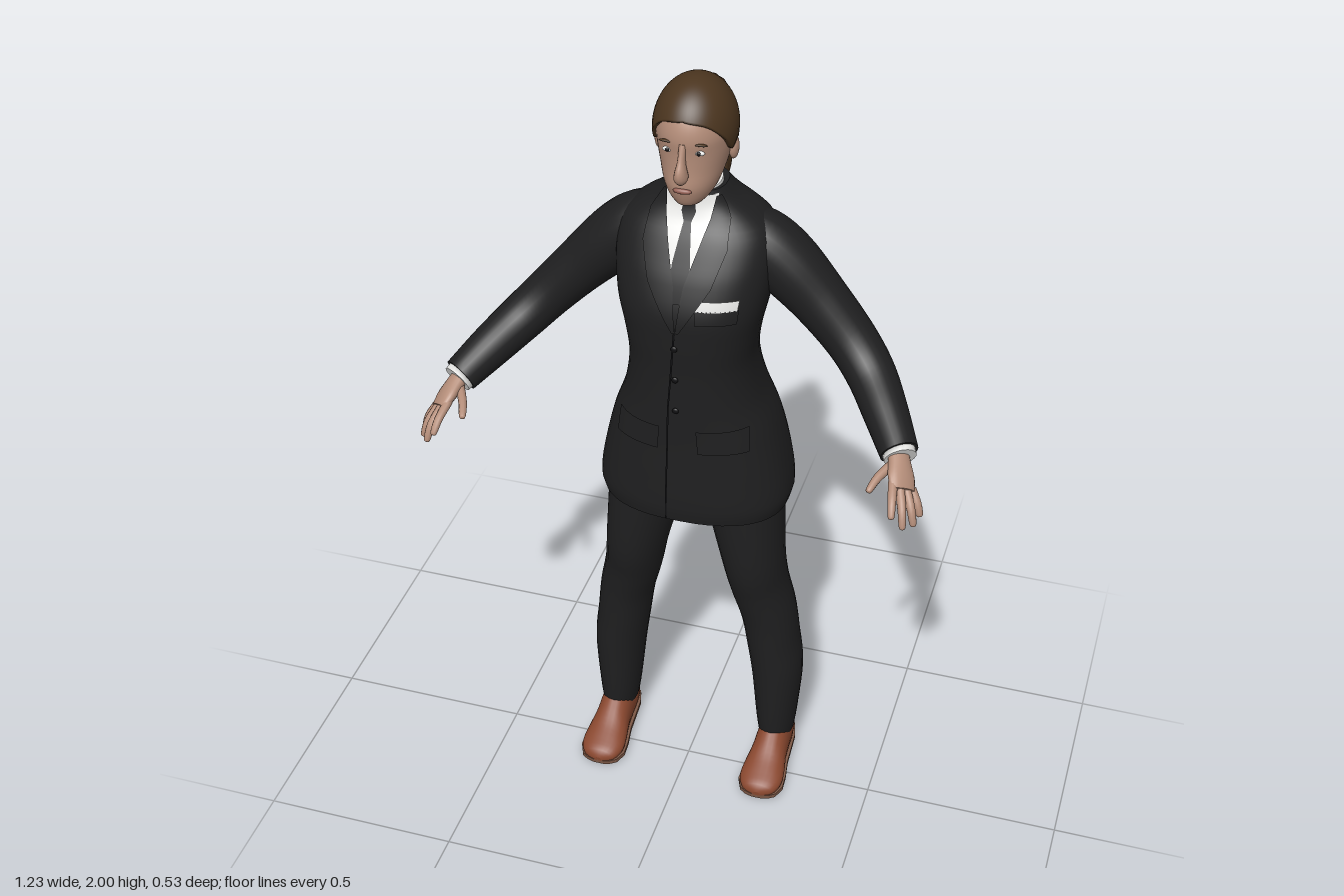
import * as THREE from 'three';

const V = (x, y, z) => new THREE.Vector3(x, y, z);
const mat = (name, color, side = THREE.FrontSide) => {
  const m = new THREE.MeshStandardMaterial({ color, side });
  m.name = name;
  return m;
};

// Smooth interpolation through rows of [key, value, value, ...]
function profile(rows) {
  const slope = (i, k) => {
    const a = rows[Math.max(0, i - 1)], b = rows[Math.min(rows.length - 1, i + 1)];
    return (b[k] - a[k]) / (b[0] - a[0]);
  };
  return (key) => {
    let i = 0;
    while (i < rows.length - 2 && key > rows[i + 1][0]) i++;
    const a = rows[i], b = rows[i + 1], d = b[0] - a[0];
    const t = Math.min(1, Math.max(0, (key - a[0]) / d)), t2 = t * t, t3 = t2 * t;
    return a.slice(1).map((v, j) => (2 * t3 - 3 * t2 + 1) * v + (t3 - 2 * t2 + t) * d * slope(i, j + 1)
      + (3 * t2 - 2 * t3) * b[j + 1] + (t3 - t2) * d * slope(i + 1, j + 1));
  };
}

// Surface through rings of points; closed rings may be capped at both ends
function skin(rings, { closed = true, cap = false } = {}) {
  const n = rings[0].length, pts = rings.flat(), index = [];
  for (let i = 0; i < rings.length - 1; i++) {
    for (let j = 0; j < (closed ? n : n - 1); j++) {
      const k = (j + 1) % n, a = i * n + j, b = i * n + k, c = b + n, d = a + n;
      index.push(a, b, c, a, c, d);
    }
  }
  if (cap) {
    [rings[0], rings[rings.length - 1]].forEach((ring, end) => {
      const s = pts.length;
      const mid = ring.reduce((m, p) => m.add(p), V(0, 0, 0)).divideScalar(n);
      pts.push(mid, ...ring);
      for (let j = 0; j < n; j++) {
        const p = s + 1 + j, q = s + 1 + (j + 1) % n;
        if (end) index.push(s, p, q); else index.push(s, q, p);
      }
    });
  }
  const g = new THREE.BufferGeometry().setFromPoints(pts);
  g.setIndex(index);
  g.computeVertexNormals();
  return g;
}

// Elliptical limb along rows of [x, y, z, half width, half depth]
function limb(rows, { across = V(1, 0, 0), steps = 24, sides = 20, ripple = 0 } = {}) {
  const path = new THREE.CatmullRomCurve3(rows.map((r) => V(r[0], r[1], r[2])), false, 'catmullrom');
  const size = new THREE.CatmullRomCurve3(rows.map((r) => V(r[3], r[4], 0)), false, 'catmullrom');
  const rings = [];
  for (let i = 0; i <= steps; i++) {
    const c = path.getPoint(i / steps), t = path.getTangent(i / steps), s = size.getPoint(i / steps);
    const u = across.clone().addScaledVector(t, -across.dot(t)).normalize();
    const w = u.clone().cross(t);
    rings.push(Array.from({ length: sides }, (_, j) => {
      const a = j / sides * Math.PI * 2, k = 1 + ripple * Math.sin(a * 6 + i * 0.25);
      return c.clone().addScaledVector(u, Math.sin(a) * s.x * k).addScaledVector(w, Math.cos(a) * s.y * k);
    }));
  }
  return skin(rings, { cap: true });
}

function mirrored(geo) {
  const g = geo.clone().scale(-1, 1, 1);
  if (!g.index) g.setIndex(Array.from({ length: g.attributes.position.count }, (_, i) => i));
  const a = g.index.array;
  for (let i = 0; i < a.length; i += 3) [a[i], a[i + 1]] = [a[i + 1], a[i]];
  return g;
}

const ball = (x, y, z, rx, ry, rz) => new THREE.SphereGeometry(1, 16, 12).scale(rx, ry, rz).translate(x, y, z);

// Jacket body: y, half width, front z, back z
const torsoAt = profile([
  [0.865, 0.234, 0.084, -0.25], [0.9, 0.242, 0.09, -0.256], [0.98, 0.232, 0.09, -0.26],
  [1.1, 0.203, 0.088, -0.248], [1.2, 0.168, 0.09, -0.222], [1.3, 0.152, 0.094, -0.192],
  [1.38, 0.16, 0.1, -0.186], [1.46, 0.177, 0.1, -0.195], [1.54, 0.188, 0.075, -0.207],
  [1.6, 0.188, 0.045, -0.21], [1.64, 0.174, 0.022, -0.205], [1.67, 0.14, 0.002, -0.19],
  [1.7, 0.096, -0.01, -0.172], [1.735, 0.068, -0.016, -0.148]]);
const POWER = 2.4;
const torsoZ = (x, y, side) => {
  const [rx, zf, zb] = torsoAt(y), q = Math.min(0.96, Math.abs(x) / rx);
  return (zf + zb) / 2 + side * (zf - zb) / 2 * (1 - q ** POWER) ** (1 / POWER);
};

// Cloth piece draped on the jacket body, rows of [y, x0, x1] from bottom to top
function drape(rows, off, side = 1) {
  const rings = [], n = 10, m = 6;
  for (let i = 0; i < rows.length - 1; i++) {
    for (let s = i ? 1 : 0; s <= m; s++) {
      const [y, x0, x1] = rows[i].map((v, k) => THREE.MathUtils.lerp(v, rows[i + 1][k], s / m));
      rings.push(Array.from({ length: n + 1 }, (_, j) => {
        const x = THREE.MathUtils.lerp(x0, x1, side > 0 ? j / n : 1 - j / n);
        return V(x, y, torsoZ(x, y, side) + off * side);
      }));
    }
  }
  return skin(rings, { closed: false });
}

// Head: rounded crown above the brow, jaw profile below it
const jawAt = profile([
  [1.712, 0.012, 0.012, -0.03], [1.722, 0.032, 0.034, -0.055], [1.745, 0.052, 0.046, -0.09],
  [1.77, 0.064, 0.053, -0.12], [1.81, 0.076, 0.05, -0.148], [1.85, 0.085, 0.05, -0.162], [1.88, 0.088, 0.053, -0.163]]);
function headPoint(a, y, grow) {
  const k = y > 1.88 ? Math.sqrt(Math.max(0, 1 - ((y - 1.88) / (0.112 + grow)) ** 2)) : 1;
  const [rx, zf, zb] = jawAt(Math.min(y, 1.88));
  return V((rx + grow) * k * Math.sin(a), y, (zf + zb) / 2 + ((zf - zb) / 2 + grow) * k * Math.cos(a));
}
const around = (n, fn) => Array.from({ length: n }, (_, j) => fn(j / n * Math.PI * 2));
const hairlineAt = profile([[0, 1.935], [35, 1.922], [60, 1.885], [78, 1.845], [95, 1.858], [120, 1.835], [180, 1.82]]);
const hairline = (a) => hairlineAt(THREE.MathUtils.radToDeg(Math.min(a, Math.PI * 2 - a)))[0];

export function createModel() {
  const model = new THREE.Group();
  model.name = 'suitedWoman';
  const two = THREE.DoubleSide;
  const suit = mat('charcoal suit', 0x1f1f20, two), black = mat('black trim', 0x101012, two);
  const shirt = mat('white shirt', 0xe6e6e4, two), skinTone = mat('skin', 0xb48d79);
  const hair = mat('brown hair', 0x4b351f, two), leather = mat('brown leather', 0x8a482f);
  const sole = mat('tan sole', 0x7c5846), lip = mat('lips', 0x935e52);
  const add = (name, geo, material) => {
    const m = new THREE.Mesh(geo, material);
    m.name = name;
    model.add(m);
  };
  const pair = (name, geo, material) => {
    add(name + 'Left', geo, material);
    add(name + 'Right', mirrored(geo), material);
  };

  // Jacket
  const body = [];
  for (let i = 0; i <= 60; i++) {
    const y = 0.865 + 0.87 * i / 60, [rx, zf, zb] = torsoAt(y);
    const pw = (v) => Math.sign(v) * Math.abs(v) ** (2 / POWER);
    body.push(around(48, (a) => V(rx * pw(Math.sin(a)), y, (zf + zb) / 2 + (zf - zb) / 2 * pw(Math.cos(a)))));
  }
  add('jacketBody', skin(body, { cap: true }), suit);
  pair('sleeve', limb([
    [0.1, 1.6, -0.095, 0.07, 0.072], [0.15, 1.58, -0.098, 0.078, 0.08], [0.21, 1.53, -0.1, 0.078, 0.08],
    [0.29, 1.45, -0.096, 0.068, 0.07], [0.37, 1.365, -0.082, 0.061, 0.065], [0.43, 1.305, -0.042, 0.058, 0.06],
    [0.485, 1.258, 0.035, 0.053, 0.053], [0.537, 1.212, 0.115, 0.045, 0.046]], { across: V(0.7, 0.7, 0), steps: 40, sides: 24 }), suit);
  pair('lapel', drape([[1.43, 0, 0.008], [1.54, 0.012, 0.075], [1.62, 0.035, 0.1], [1.68, 0.052, 0.095], [1.725, 0.058, 0.067]], 0.01), suit);
  pair('hipPocketFlap', drape([[1.085, 0.05, 0.165], [1.15, 0.045, 0.16]], 0.008), suit);
  add('breastPocket', drape([[1.455, 0.045, 0.135], [1.49, 0.042, 0.138]], 0.007), suit);
  add('pocketSquare', drape([[1.488, 0.045, 0.135], [1.512, 0.042, 0.138]], 0.007), shirt);
  add('frontEdge', drape([[0.87, -0.034, -0.03], [1.2, -0.026, -0.022], [1.44, -0.005, 0]], 0.003), black);
  add('backVent', drape([[0.87, -0.003, 0.003], [1.08, -0.002, 0.002]], 0.003, -1), black);
  for (const y of [1.2, 1.29, 1.38]) add('button', ball(-0.005, y, torsoZ(0, y, 1) + 0.002, 0.008, 0.008, 0.004), black);

  // Shirt and tie
  add('shirtFront', drape([[1.53, -0.012, 0.012], [1.62, -0.042, 0.042], [1.69, -0.058, 0.058], [1.728, -0.062, 0.062]], 0.005), shirt);
  add('shirtCollar', limb([[0, 1.68, -0.081, 0.064, 0.063], [0, 1.745, -0.07, 0.058, 0.057]], { steps: 4, sides: 32 }), shirt);
  add('tie', drape([[1.5, -0.012, 0.012], [1.58, -0.022, 0.022], [1.668, -0.009, 0.009], [1.69, -0.017, 0.017], [1.715, -0.012, 0.012]], 0.008), black);
  pair('shirtCuff', limb([[0.53, 1.218, 0.105, 0.04, 0.04], [0.542, 1.206, 0.126, 0.038, 0.039]], { across: V(0.7, 0.7, 0), steps: 2 }), shirt);

  // Hands
  const across = V(0.045, -0.03, -0.035).normalize();
  pair('palm', limb([[0.532, 1.217, 0.11, 0.026, 0.021], [0.544, 1.2, 0.14, 0.03, 0.02],
    [0.555, 1.182, 0.168, 0.037, 0.018], [0.565, 1.166, 0.192, 0.033, 0.012]], { across, steps: 10 }), skinTone);
  const fingers = {
    indexFinger: [[0.541, 1.184, 0.19], [0.549, 1.162, 0.235], [0.555, 1.132, 0.263]],
    middleFinger: [[0.556, 1.172, 0.188], [0.572, 1.138, 0.228], [0.58, 1.097, 0.248]],
    ringFinger: [[0.57, 1.162, 0.18], [0.589, 1.13, 0.208], [0.6, 1.09, 0.22]],
    littleFinger: [[0.58, 1.154, 0.166], [0.598, 1.126, 0.18], [0.608, 1.096, 0.187]],
    thumb: [[0.528, 1.198, 0.145], [0.505, 1.186, 0.188], [0.491, 1.17, 0.228]],
  };
  for (const [name, [a, b, c]] of Object.entries(fingers)) {
    const near = (t) => b.map((v, i) => v + (c[i] - v) * t);
    pair(name, limb([[...a, 0.012, 0.011], [...b, 0.0105, 0.01], [...near(0.85), 0.008, 0.008], [...c, 0.002, 0.002]],
      { across, steps: 12, sides: 10 }), skinTone);
  }

  // Trousers
  pair('trouserLeg', limb([
    [0.221, 0.085, -0.092, 0.046, 0.07], [0.22, 0.15, -0.093, 0.054, 0.077], [0.217, 0.3, -0.095, 0.067, 0.085],
    [0.205, 0.4, -0.092, 0.069, 0.086], [0.191, 0.5, -0.085, 0.071, 0.086], [0.168, 0.6, -0.072, 0.074, 0.091],
    [0.153, 0.7, -0.062, 0.08, 0.104], [0.128, 0.86, -0.07, 0.097, 0.118], [0.112, 0.97, -0.08, 0.108, 0.125]], { steps: 40, sides: 24 }), suit);

  // Shoes: z, half width, top height; the heel sits slightly higher than the toe
  const shoeRows = [[-0.166, 0.012, 0.05], [-0.158, 0.031, 0.085], [-0.12, 0.042, 0.115], [-0.06, 0.045, 0.12], [-0.02, 0.047, 0.1],
    [0.03, 0.055, 0.072], [0.07, 0.057, 0.056], [0.1, 0.044, 0.044], [0.11, 0.028, 0.034], [0.115, 0.01, 0.024]];
  const place = (g) => g.rotateX(0.08).translate(0.222, 0.009, 0);
  const shoeAt = profile(shoeRows), upper = [];
  for (let i = 0; i <= 30; i++) {
    const z = -0.166 + 0.281 * (1 - Math.cos(Math.PI * i / 30)) / 2, [w, top] = shoeAt(z);
    upper.push(around(24, (a) => V(-w * Math.sin(a), 0.012 + (top - 0.012) * Math.max(0, 0.3 + 0.7 * Math.cos(a)), z)));
  }
  pair('shoeUpper', place(skin(upper, { cap: true })), leather);
  const edge = shoeRows.map(([z, w]) => new THREE.Vector2(w + 0.004, -z));
  const outline = new THREE.Shape([...edge, ...edge.map((p) => new THREE.Vector2(-p.x, p.y)).reverse()]);
  pair('shoeSole', place(new THREE.ExtrudeGeometry(outline, { depth: 0.012, bevelEnabled: false }).rotateX(-Math.PI / 2).translate(0, 0.002, 0)), sole);
  pair('shoeHeel', place(new THREE.CylinderGeometry(0.042, 0.042, 0.018, 20).scale(1, 1, 1.1).translate(0, -0.004, -0.115)), black);

  // Head and face
  add('neck', limb([[0, 1.66, -0.085, 0.052, 0.054], [0, 1.73, -0.07, 0.05, 0.052], [0, 1.82, -0.06, 0.056, 0.058]], { steps: 8 }), skinTone);
  const head = [];
  for (let i = 0; i <= 40; i++) {
    const y = 1.712 + 0.28 * Math.sin(i / 40 * Math.PI / 2);
    head.push(around(40, (a) => headPoint(a, y, 0)));
  }
  add('head', skin(head, { cap: true }), skinTone);
  add('nose', limb([[0, 1.797, 0.05, 0.008, 0.008], [0, 1.805, 0.058, 0.016, 0.02], [0, 1.82, 0.06, 0.014, 0.022],
    [0, 1.845, 0.055, 0.009, 0.014], [0, 1.882, 0.047, 0.008, 0.008]], { steps: 16, sides: 14 }), skinTone);
  add('lips', ball(0, 1.768, 0.051, 0.022, 0.007, 0.008), lip);
  pair('ear', ball(0.086, 1.835, -0.062, 0.012, 0.029, 0.018).rotateY(0), skinTone);
  pair('eye', ball(0.036, 1.862, 0.04, 0.013, 0.006, 0.006), shirt);
  pair('pupil', ball(0.036, 1.862, 0.0445, 0.005, 0.005, 0.003), black);
  pair('eyebrow', ball(0.037, 1.883, 0.042, 0.019, 0.003, 0.006), hair);

  // Hair
  const cap = [around(64, (a) => headPoint(a, hairline(a), -0.002))];
  for (let i = 0; i <= 24; i++) {
    cap.push(around(64, (a) => {
      const h = hairline(a);
      return headPoint(a, h + (2 - h) * Math.sin(i / 24 * Math.PI / 2), 0.008);
    }));
  }
  add('hairCap', skin(cap), hair);
  const nape = [-0.026, 0.002].map((d) => Array.from({ length: 25 }, (_, j) => {
    const a = THREE.MathUtils.degToRad(108 + 144 * j / 24);
    return headPoint(a, hairline(a) + d, 0.004);
  }));
  add('napeHair', skin(nape, { closed: false }), black);
  add('hairTie', new THREE.TorusGeometry(0.021, 0.009, 10, 20).translate(0, 1.915, -0.176), black);
  add('ponytail', limb([[0, 1.91, -0.155, 0.02, 0.02], [0, 1.92, -0.185, 0.022, 0.02], [0, 1.885, -0.21, 0.031, 0.024],
    [0, 1.82, -0.218, 0.037, 0.03], [0, 1.74, -0.222, 0.037, 0.031], [0, 1.67, -0.225, 0.028, 0.022],
    [0, 1.6, -0.222, 0.006, 0.006]], { steps: 36, sides: 36, ripple: 0.07 }), hair);
  return model;
}
